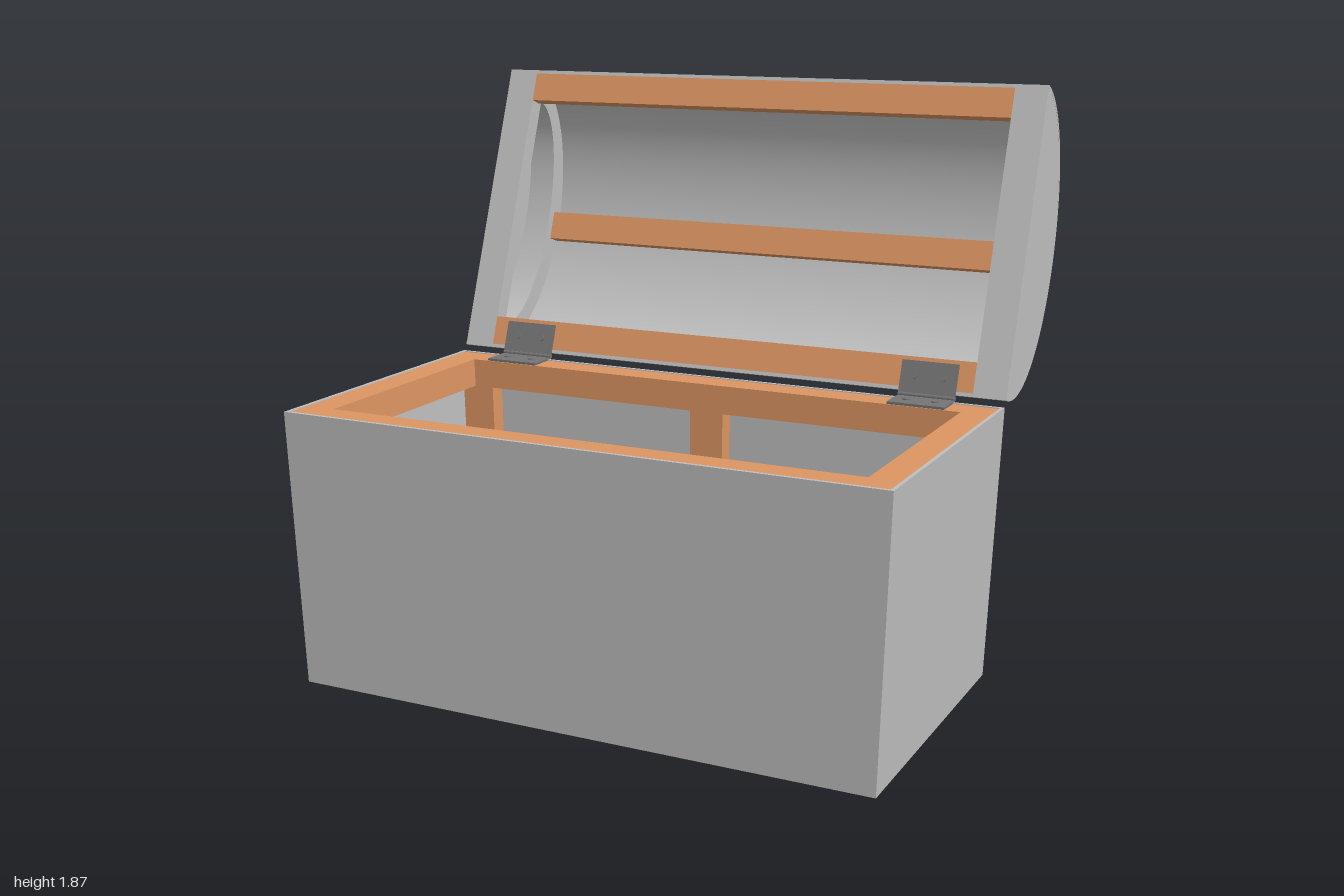
import * as THREE from 'three';
import { toCreasedNormals } from 'three/addons/utils/BufferGeometryUtils.js';

const BODY_H = 0.893;      // height of the body
const BODY_Z = 0.279;      // middle of the body in depth
const A = 0.512, B = 0.34; // half depth and rise of the domed lid
const WALL = 0.012;

export function createModel() {
  const model = new THREE.Group();
  const material = (name, color) => {
    const m = new THREE.MeshStandardMaterial({ color });
    m.name = name;
    return m;
  };
  const grey = material('grey panel', 0xbebebe);
  const wood = material('orange wood', 0xdc9562);
  const steel = material('dark steel', 0x747474);

  const add = (parent, name, geometry, mat, x = 0, y = 0, z = 0) => {
    const mesh = new THREE.Mesh(geometry, mat);
    mesh.name = name;
    mesh.position.set(x, y, z);
    parent.add(mesh);
    return mesh;
  };
  const box = (w, h, d) => new THREE.BoxGeometry(w, h, d);

  // Narrow a geometry towards the floor
  const taper = (geometry) => {
    const p = geometry.attributes.position;
    for (let i = 0; i < p.count; i++) {
      const t = p.getY(i) / BODY_H;
      p.setX(i, p.getX(i) * (0.966 + 0.034 * t));
      p.setZ(i, p.getZ(i) * (0.97 + 0.03 * t));
    }
    geometry.computeVertexNormals();
    return geometry;
  };

  // Upright rectangular frame between two heights
  const rectangle = (path, w, d) =>
    path.moveTo(-w, -d).lineTo(w, -d).lineTo(w, d).lineTo(-w, d).closePath();
  const frame = (w, d, innerW, innerD, y0, y1) => {
    const shape = rectangle(new THREE.Shape(), w, d);
    shape.holes.push(rectangle(new THREE.Path(), innerW, innerD));
    const g = new THREE.ExtrudeGeometry(shape, { depth: y1 - y0, bevelEnabled: false });
    return taper(g.rotateX(-Math.PI / 2).translate(0, y0, 0));
  };

  // Body: walls, floor, rim and posts
  const body = new THREE.Group();
  body.name = 'body';
  body.position.z = BODY_Z;
  model.add(body);
  const w = 1, d = 0.5165;
  add(body, 'walls', frame(w, d, w - WALL, d - WALL, 0, BODY_H), grey);
  add(body, 'floor', taper(box(2 * (w - WALL), WALL, 2 * (d - WALL)).translate(0, WALL / 2, 0)), grey);
  add(body, 'rim', frame(w - WALL, d - WALL, 0.89, 0.41, 0.795, 0.89), wood);
  for (const side of [-1, 1]) {
    for (const x of [-0.9, 0, 0.9]) {
      const post = box(0.12, 0.785, 0.062).translate(x, 0.404, side * 0.474);
      add(body, 'post', taper(post), wood);
    }
  }

  // Lid: modelled closed with its hinge line at the origin, then swung open
  const lid = new THREE.Group();
  lid.name = 'lid';
  lid.position.set(0, 0.912, -0.252);
  lid.rotation.x = -1.923;
  model.add(lid);

  const dome = (a, b) => new THREE.Shape().absellipse(0, 0, a, b, 0, Math.PI, false, 0);
  const extrudeAcross = (shape, width) => {
    const g = new THREE.ExtrudeGeometry(shape, { depth: width, bevelEnabled: false, curveSegments: 40 });
    g.translate(0, 0, -width / 2).rotateY(Math.PI / 2);
    return toCreasedNormals(g, 0.5);
  };

  const shell = dome(A, B);
  shell.absellipse(0, 0, A - WALL, B - WALL, Math.PI, 0, true, 0);
  shell.closePath();
  add(lid, 'lidShell', extrudeAcross(shell, 2), grey, 0, 0, A);

  // End walls with a hollow rib inside each
  for (const side of [-1, 1]) {
    add(lid, 'lidEnd', extrudeAcross(dome(A - 0.004, B - 0.004), WALL), grey, side * (0.9995 - WALL / 2), 0, A);
    const rib = dome(A - WALL, B - WALL);
    rib.holes.push(new THREE.Path().absellipse(0, 0.06, 0.41, 0.19, 0, Math.PI, false, 0));
    add(lid, 'lidRib', extrudeAcross(rib, 0.1), grey, side * 0.94, 0, A);
  }

  // Wooden slats along the two edges and under the crown
  for (const [y, z] of [[0.0225, 0.062], [0.0225, 2 * A - 0.062], [0.304, A]]) {
    add(lid, 'lidSlat', box(1.78, 0.045, 0.1), wood, 0, y, z);
  }

  // Hinges: a leaf on the rim, a leaf on the lid, and a pin between
  const screw = new THREE.CylinderGeometry(0.012, 0.012, 0.004, 12);
  for (const side of [-1, 1]) {
    const x = side * 0.74;
    add(model, 'hingeLeafLower', box(0.19, 0.008, 0.11), steel, x, 0.894, -0.19);
    add(lid, 'hingeLeafUpper', box(0.19, 0.008, 0.105), steel, x, -0.004, 0.046);
    const pin = new THREE.CylinderGeometry(0.008, 0.008, 0.19, 12).rotateZ(Math.PI / 2);
    add(model, 'hingePin', pin, steel, x, 0.901, -0.246);
    for (const offset of [-0.048, 0.048]) {
      add(model, 'hingeScrew', screw, steel, x + offset, 0.9, -0.19);
      add(lid, 'hingeScrew', screw, steel, x + offset, -0.01, 0.05);
    }
  }
  return model;
}
